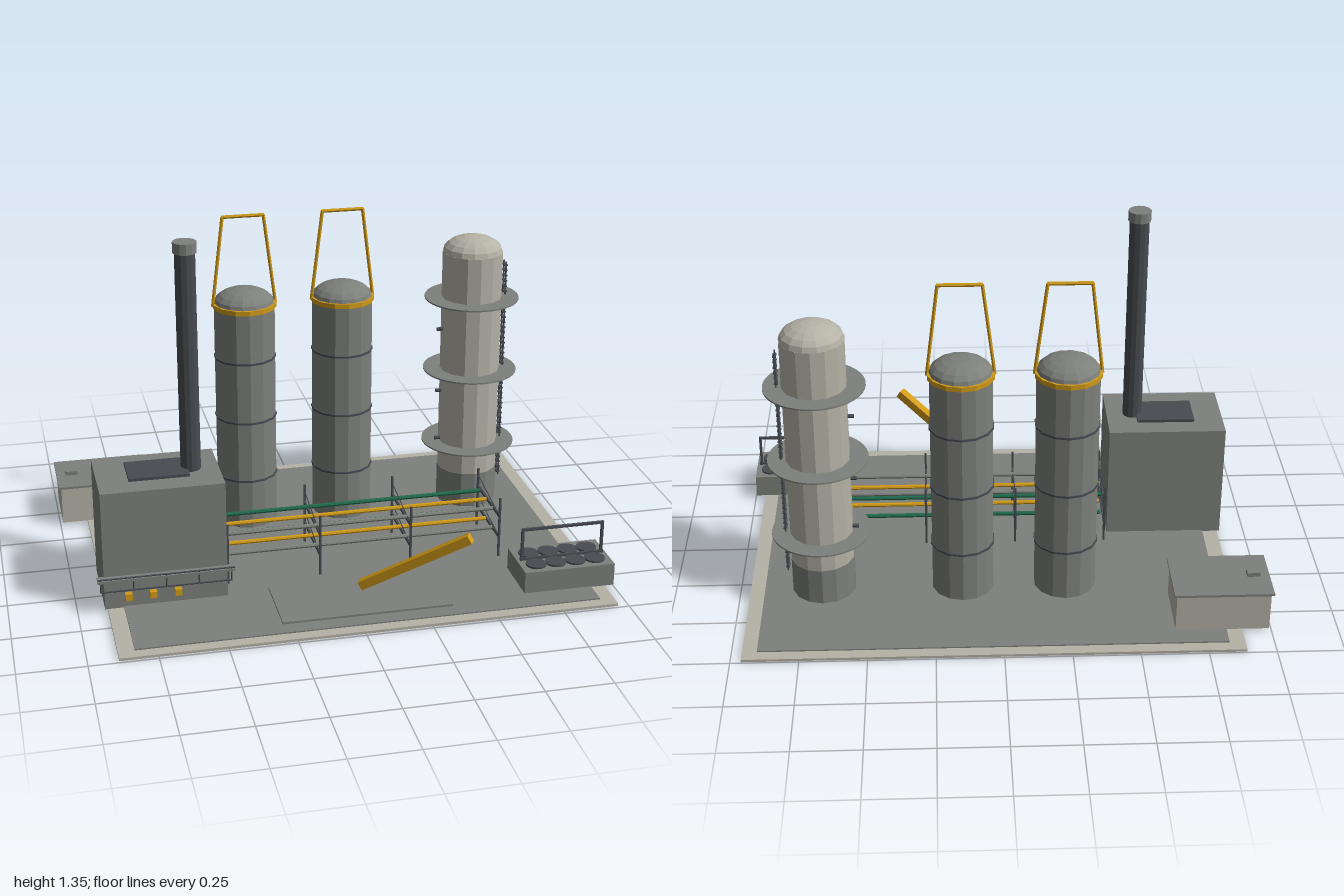
import * as THREE from 'three';

const mat = (name, color, side = THREE.FrontSide) => {
  const m = new THREE.MeshStandardMaterial({ color, flatShading: true, side });
  m.name = name;
  return m;
};

export function createModel() {
  const concrete = mat('pale concrete', 0xb5b2a6);
  const grey = mat('plant grey', 0x7d807b);
  const dark = mat('dark steel', 0x474b50);
  const yellow = mat('safety yellow', 0xd09a18);
  const green = mat('pipe green', 0x1f6a4c);
  const model = new THREE.Group();
  model.name = 'processPlant';

  const group = (name, x = 0, y = 0, z = 0) => {
    const g = new THREE.Group();
    g.name = name;
    g.position.set(x, y, z);
    model.add(g);
    return g;
  };
  const add = (parent, name, geo, material, x = 0, y = 0, z = 0) => {
    const m = new THREE.Mesh(geo, material);
    m.name = name;
    m.position.set(x, y, z);
    parent.add(m);
    return m;
  };
  // Box given by its lower and upper corners
  const box = (p, name, material, x0, x1, y0, y1, z0, z1) =>
    add(p, name, new THREE.BoxGeometry(x1 - x0, y1 - y0, z1 - z0), material,
      (x0 + x1) / 2, (y0 + y1) / 2, (z0 + z1) / 2);
  // Upright cylinder from y0 to y1
  const drum = (p, name, material, r, y0, y1, x = 0, z = 0, sides = 14) =>
    add(p, name, new THREE.CylinderGeometry(r, r, y1 - y0, sides), material, x, (y0 + y1) / 2, z);
  // Round or square bar between two points
  const bar = (p, name, material, a, b, r, sides = 6) => {
    const from = new THREE.Vector3(...a), to = new THREE.Vector3(...b);
    const dir = to.clone().sub(from);
    const m = add(p, name, new THREE.CylinderGeometry(r, r, dir.length(), sides), material);
    m.position.copy(from).lerp(to, 0.5);
    m.quaternion.setFromUnitVectors(new THREE.Vector3(0, 1, 0), dir.normalize());
    return m;
  };
  // Flattened half sphere cap
  const dome = (p, material, r, h, y) => {
    const g = new THREE.SphereGeometry(r, 14, 5, 0, Math.PI * 2, 0, Math.PI / 2);
    g.scale(1, h / r, 1);
    return add(p, 'domeCap', g, material, 0, y, 0);
  };

  // Ground slabs
  const ground = group('ground');
  box(ground, 'baseSlab', concrete, -0.89, 0.96, 0, 0.01, -0.745, 0.74);
  box(ground, 'pavedYard', grey, -0.83, 0.905, 0.008, 0.015, -0.7, 0.695);
  box(ground, 'loadingPad', grey, -0.285, 0.355, -0.0005, 0.023, 0.355, 0.635);

  // Furnace with chimney, burners and front walkway
  const furnace = group('furnace');
  box(furnace, 'furnaceBody', grey, -0.9, -0.442, 0.01, 0.475, 0.055, 0.375);
  box(furnace, 'roofHatch', dark, -0.785, -0.56, 0.475, 0.486, 0.133, 0.288);
  drum(furnace, 'chimney', dark, 0.038, 0.475, 1.31, -0.545, 0.212, 12);
  drum(furnace, 'chimneyCap', grey, 0.044, 1.31, 1.35, -0.545, 0.212, 12);
  for (const x of [-0.812, -0.721, -0.628])
    box(furnace, 'burner', yellow, x - 0.013, x + 0.013, 0.047, 0.073, 0.37, 0.398);
  box(furnace, 'walkwayDeck', grey, -0.925, -0.42, 0.132, 0.142, 0.37, 0.41);
  bar(furnace, 'walkwayRail', dark, [-0.925, 0.148, 0.408], [-0.42, 0.148, 0.408], 0.003);
  bar(furnace, 'walkwayLowerRail', dark, [-0.915, 0.096, 0.406], [-0.43, 0.096, 0.406], 0.003);
  for (let i = 0; i < 5; i++) {
    const x = -0.915 + i * 0.121;
    bar(furnace, 'walkwayPost', dark, [x, 0.095, 0.406], [x, 0.148, 0.406], 0.003);
  }

  // Control hut
  const hut = group('controlHut');
  box(hut, 'hutBody', concrete, -0.99, -0.64, 0.012, 0.163, -0.62, -0.38);
  box(hut, 'hutRoof', grey, -1, -0.63, 0.163, 0.172, -0.63, -0.37);
  box(hut, 'roofVent', grey, -0.963, -0.915, 0.172, 0.188, -0.515, -0.483);

  // Two drums with lifting frames
  for (const x of [-0.248, 0.144]) {
    const silo = group('drumTower', x, 0, -0.285);
    drum(silo, 'drumShell', grey, 0.119, 0.01, 0.935);
    dome(silo, grey, 0.119, 0.06, 0.933);
    for (const y of [0.217, 0.466, 0.715])
      drum(silo, 'shellBand', dark, 0.123, y - 0.004, y + 0.004);
    drum(silo, 'topBand', yellow, 0.126, 0.918, 0.937);
    for (const s of [-1, 1])
      bar(silo, 'frameLeg', yellow, [s * 0.124, 0.925, 0], [s * 0.08, 1.282, 0], 0.007);
    bar(silo, 'frameCrossbar', yellow, [-0.083, 1.282, 0], [0.083, 1.282, 0], 0.007);
  }

  // Tall column with ring platforms, ladder and nozzles
  const column = group('column', 0.677, 0, -0.285);
  drum(column, 'columnSkirt', grey, 0.122, 0.01, 0.16);
  drum(column, 'columnShell', concrete, 0.12, 0.16, 1.08);
  dome(column, concrete, 0.12, 0.065, 1.08);
  const ring = new THREE.Shape().absarc(0, 0, 0.188, 0, Math.PI * 2);
  ring.holes.push(new THREE.Path().absarc(0, 0, 0.112, 0, Math.PI * 2, true));
  const ringGeo = new THREE.ExtrudeGeometry(ring, { depth: 0.006, bevelEnabled: false, curveSegments: 20 });
  ringGeo.rotateX(-Math.PI / 2);
  for (const y of [0.268, 0.582, 0.887]) {
    add(column, 'ringPlatform', ringGeo, grey, 0, y, 0);
    for (let i = 0; i < 4; i++) {
      const a = Math.PI * (0.25 + i / 2), c = Math.cos(a), s = Math.sin(a);
      bar(column, 'platformBracket', grey, [c * 0.115, y, s * 0.115], [c * 0.185, y, s * 0.185], 0.004, 4);
    }
  }
  for (const z of [-0.014, 0.014])
    box(column, 'ladderRail', dark, 0.133, 0.139, 0.1, 1.03, z - 0.002, z + 0.002);
  for (let y = 0.11; y < 1.03; y += 0.022)
    box(column, 'ladderRung', dark, 0.129, 0.143, y, y + 0.005, -0.015, 0.015);
  for (const y of [0.285, 0.495, 0.76])
    bar(column, 'nozzle', dark, [-0.14, y, 0], [-0.11, y, 0], 0.008, 8);

  // Pipe rack
  const rack = group('pipeRack');
  for (const x of [-0.425, -0.07, 0.285, 0.64]) {
    for (const z of [0, 0.285])
      box(rack, 'rackPost', dark, x - 0.004, x + 0.004, 0.01, 0.262, z - 0.004, z + 0.004);
    for (const y of [0.1, 0.186]) {
      box(rack, 'rackBeam', dark, x - 0.004, x + 0.004, y - 0.005, y + 0.005, 0, 0.285);
      bar(rack, 'rackBrace', dark, [x, y, 0.285], [x, y + 0.047, 0], 0.002, 4);
    }
  }
  for (const y of [0.11, 0.193])
    for (const [z, m] of [[0.057, green], [0.14, yellow], [0.223, grey]])
      bar(rack, 'rackPipe', m, [-0.415, y, z], [0.63, y, z], 0.0085, 8);

  // Inclined conveyor
  const start = new THREE.Vector3(0.037, 0.07, 0.5), end = new THREE.Vector3(0.392, 0.322, 0.702);
  const conveyor = add(model, 'conveyor',
    new THREE.BoxGeometry(0.034, 0.034, start.distanceTo(end)), yellow);
  conveyor.position.copy(start).lerp(end, 0.5);
  conveyor.lookAt(end);

  // Fan cooler with two rows of fans and a handling frame
  const cooler = group('fanCooler');
  box(cooler, 'coolerBody', grey, 0.643, 0.995, 0.012, 0.1, 0.39, 0.6);
  for (let i = 0; i < 4; i++)
    for (const z of [0.45, 0.542])
      drum(cooler, 'fan', dark, 0.039, 0.098, 0.107, 0.704 + i * 0.077, z, 16);
  box(cooler, 'frameSill', dark, 0.655, 0.985, 0.1, 0.11, 0.492, 0.502);
  for (const x of [0.662, 0.977])
    box(cooler, 'framePost', dark, x - 0.005, x + 0.005, 0.1, 0.232, 0.492, 0.502);
  box(cooler, 'frameTop', dark, 0.657, 0.982, 0.222, 0.232, 0.492, 0.502);

  return model;
}
